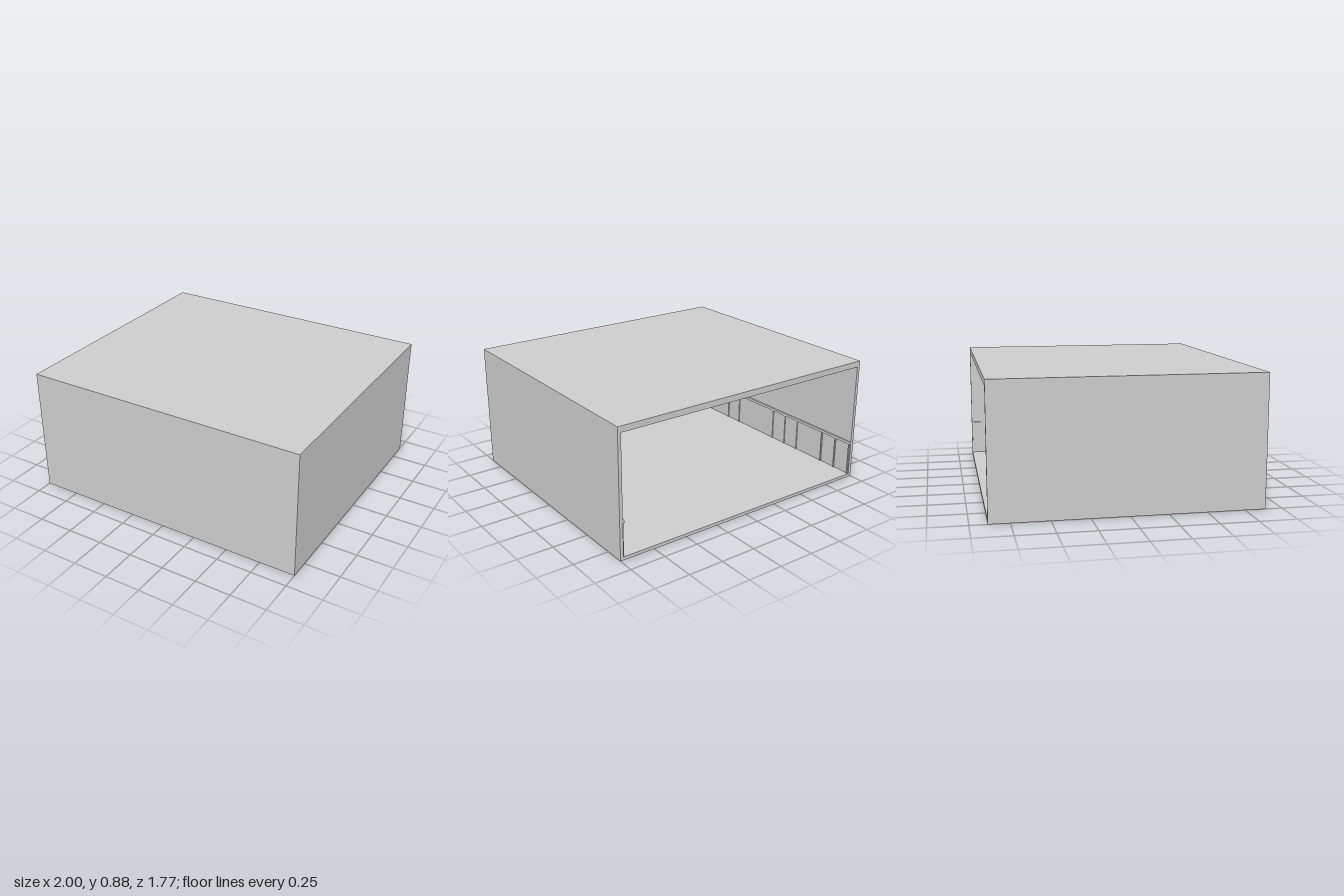
import * as THREE from 'three';

export function createModel() {
  const group = new THREE.Group();
  const grey = new THREE.MeshStandardMaterial({ color: 0xcccccc });
  grey.name = 'light grey';

  const W = 2, H = 0.885, D = 1.775, T = 0.023; // outer size and panel thickness
  const lidT = 0.022, ceilingT = 0.02;
  const wallH = H - T - lidT;

  const add = (name, geometry, x, y, z) => {
    const mesh = new THREE.Mesh(geometry, grey);
    mesh.name = name;
    mesh.position.set(x, y, z);
    group.add(mesh);
    return mesh;
  };
  const box = (name, w, h, d, x, y, z) => add(name, new THREE.BoxGeometry(w, h, d), x, y, z);

  // Shell, open at the back
  box('floor', W, T, D, 0, T / 2, 0);
  box('roof', W, lidT, D, 0, H - lidT / 2, 0);
  box('ceiling', W - 2 * T, ceilingT, D - T, 0, H - lidT - ceilingT / 2, -T / 2);
  box('frontWall', W, wallH, T, 0, T + wallH / 2, D / 2 - T / 2);

  // Side walls, each with a rail and upright battens on the inside
  const battens = [-0.875, -0.74, -0.605, -0.34, -0.205, -0.07, 0.34, 0.475, 0.74];
  const railY = 0.265, proud = 0.01;
  for (const [side, s] of [['left', 1], ['right', -1]]) {
    box(side + 'Wall', T, wallH, D - T, s * (W / 2 - T / 2), T + wallH / 2, -T / 2);
    const x = s * (W / 2 - T - proud / 2);
    box(side + 'Rail', proud, 0.02, D - T, x, railY, -T / 2);
    for (const z of battens) {
      box(side + 'Batten', proud * 0.8, railY - 0.01 - T, 0.01, s * (W / 2 - T - proud * 0.4), (railY - 0.01 + T) / 2, z);
    }
  }

  // Round lamps below the ceiling
  const lampH = 0.025, lamp = new THREE.CylinderGeometry(0.045, 0.045, lampH, 24);
  for (const [x, z] of [[0.47, -0.52], [0.11, 0.04], [-0.68, -0.31]]) {
    add('ceilingLamp', lamp, x, H - lidT - ceilingT - lampH / 2, z);
  }
  return group;
}
